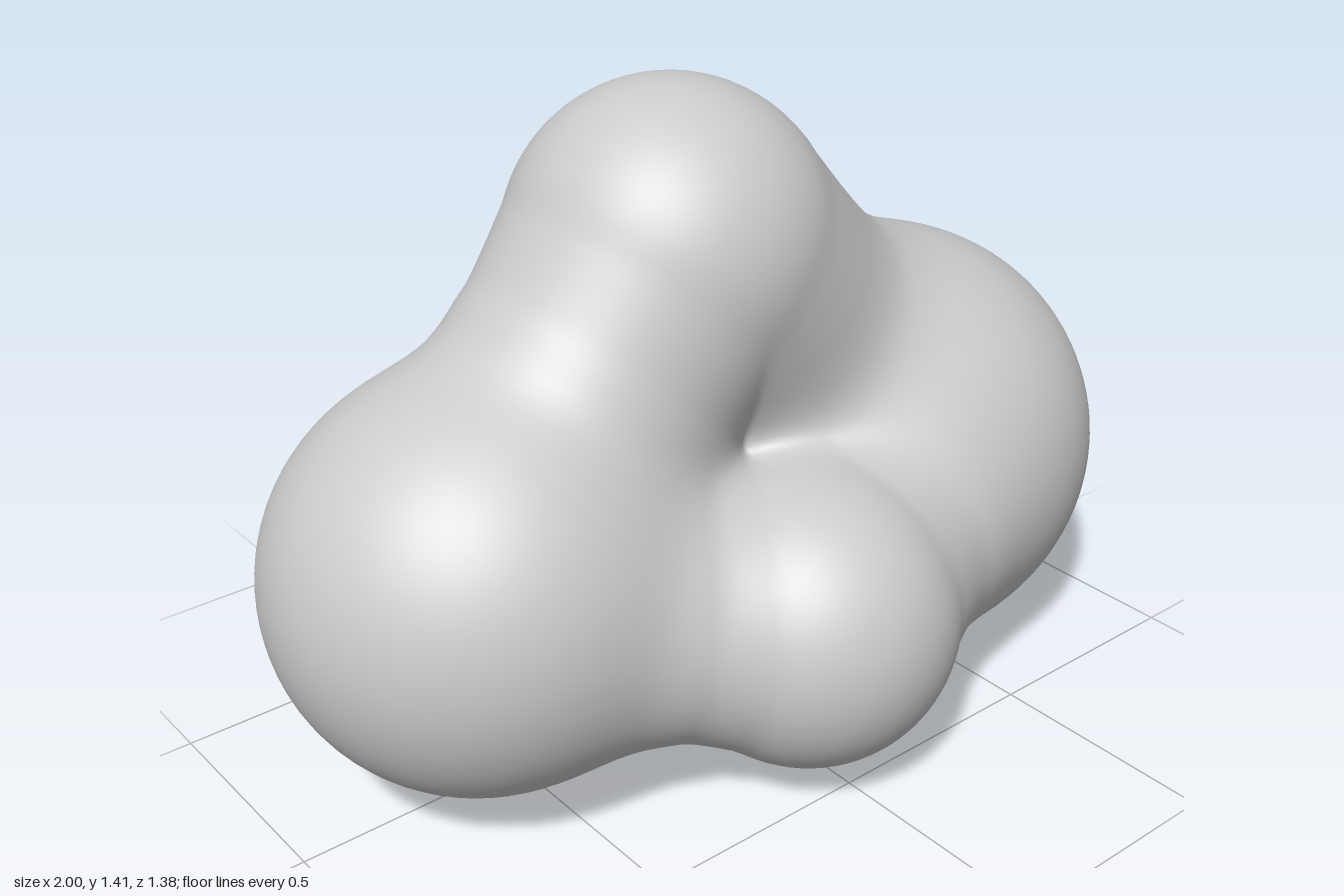
import * as THREE from 'three';
import { mergeVertices } from 'three/addons/utils/BufferGeometryUtils.js';

const ball = (x, y, z, r) => ({ centre: new THREE.Vector3(x, y, z), r });

// Each lobe is a ball; its arms taper from the ball towards the side lobes
const LOBES = [
  { ball: ball(0.518, 0.484, 0.03, 0.479), arms: [] }, // left side
  { ball: ball(-0.563, 0.502, 0.01, 0.436), arms: [] }, // right side
  { ball: ball(-0.06, 1.07, -0.012, 0.344), arms: [ball(0.23, 0.8, -0.01, 0.3), ball(-0.25, 0.86, -0.01, 0.3)] }, // top
  { ball: ball(-0.015, 0.368, 0.372, 0.314), arms: [ball(0.26, 0.4, 0.29, 0.25), ball(-0.25, 0.41, 0.26, 0.25)] }, // front
  { ball: ball(-0.13, 0.485, -0.362, 0.328), arms: [ball(0.12, 0.485, -0.25, 0.27), ball(-0.33, 0.49, -0.26, 0.27)] }, // back
];

const BLEND = 0.055;
const CORE = new THREE.Vector3(-0.03, 0.55, 0);
const axis = new THREE.Vector3();
const offset = new THREE.Vector3();

// Distance to a tapered, round-ended arm between two balls
function armDistance(p, a, b) {
  axis.subVectors(b.centre, a.centre);
  offset.subVectors(p, a.centre);
  const t = THREE.MathUtils.clamp(offset.dot(axis) / axis.lengthSq(), 0, 1);
  return offset.addScaledVector(axis, -t).length() - THREE.MathUtils.lerp(a.r, b.r, t);
}

// Signed distance to the smoothly blended lobes
function distance(p) {
  let sum = 0;
  for (const lobe of LOBES) {
    let d = p.distanceTo(lobe.ball.centre) - lobe.ball.r;
    for (const arm of lobe.arms) d = Math.min(d, armDistance(p, lobe.ball, arm));
    sum += Math.exp(-d / BLEND);
  }
  return -BLEND * Math.log(sum);
}

// Shrink-wrap a sphere: every vertex travels inwards until it meets the surface
function wrappedGeometry() {
  let geo = new THREE.IcosahedronGeometry(1, 30);
  geo.deleteAttribute('uv');
  geo.deleteAttribute('normal');
  geo = mergeVertices(geo, 1e-5);
  const pos = geo.attributes.position;
  const dir = new THREE.Vector3();
  const p = new THREE.Vector3();
  for (let i = 0; i < pos.count; i++) {
    dir.fromBufferAttribute(pos, i).normalize();
    let t = 1.8;
    for (let step = 0; step < 150; step++) {
      const d = distance(p.copy(CORE).addScaledVector(dir, t));
      t -= d * 0.9;
      if (Math.abs(d) < 1e-5) break;
    }
    p.copy(CORE).addScaledVector(dir, t);
    pos.setXYZ(i, p.x, p.y, p.z);
  }
  geo.computeVertexNormals();
  return geo;
}

export function createModel() {
  const group = new THREE.Group();
  group.name = 'blob';
  const body = new THREE.Mesh(wrappedGeometry(), new THREE.MeshStandardMaterial({ color: 0xcccccc }));
  body.name = 'blobBody';
  group.add(body);
  return group;
}
